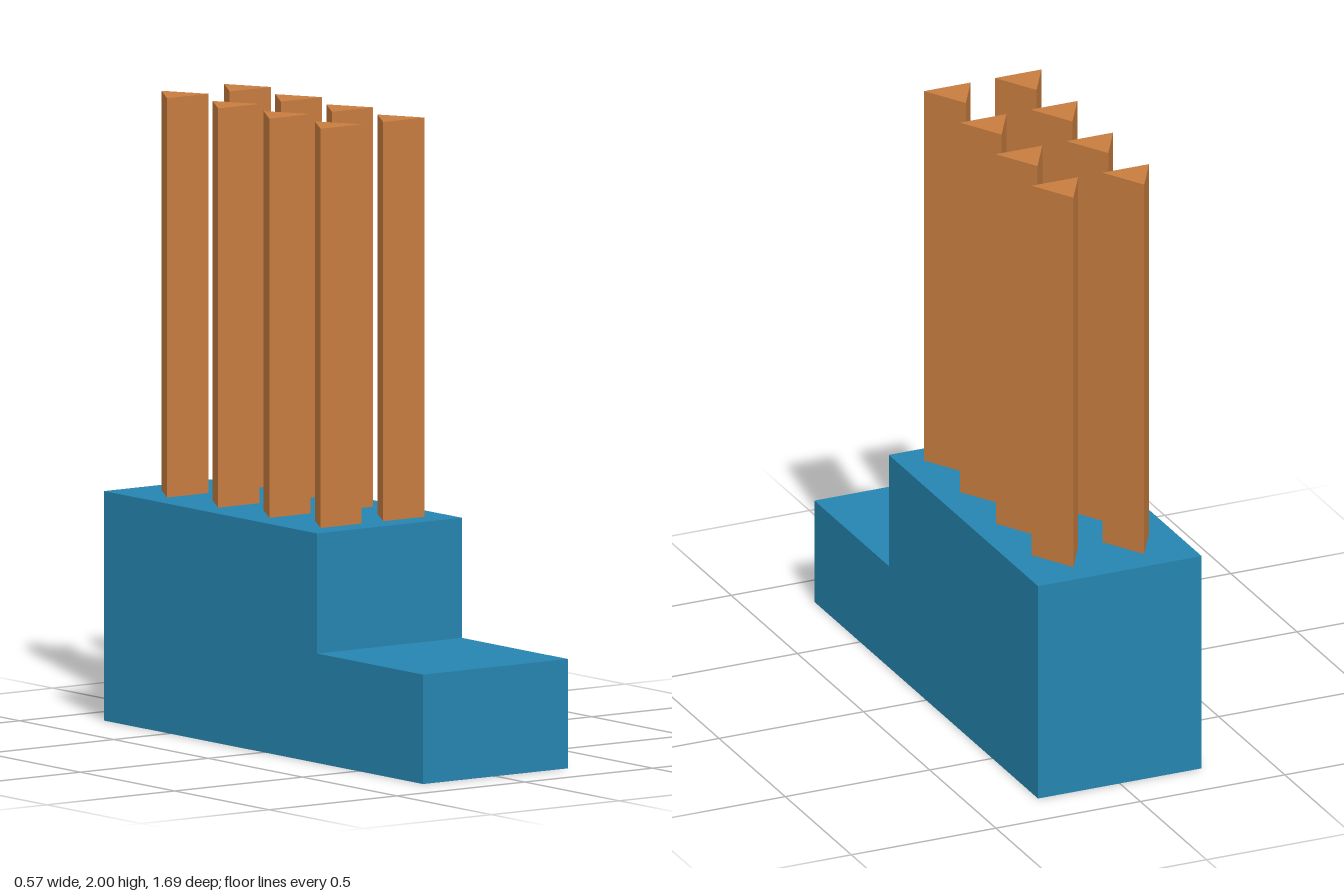
import * as THREE from 'three';

export function createModel() {
  const group = new THREE.Group();
  const blue = new THREE.MeshStandardMaterial({ color: 0x2585b0, side: THREE.DoubleSide });
  blue.name = 'blue';
  const copper = new THREE.MeshStandardMaterial({ color: 0xc87d40, flatShading: true });
  copper.name = 'copper';

  const add = (name, geometry, material, parent) => {
    const mesh = new THREE.Mesh(geometry, material);
    mesh.name = name;
    parent.add(mesh);
    return mesh;
  };

  // Stepped housing: a thin shell, open underneath. Profile points are (z, y).
  const halfWidth = 0.283;
  const profile = [
    [0.845, 0], [0.845, 0.348], [0.283, 0.348],
    [0.283, 0.73], [-0.845, 0.73], [-0.845, 0],
  ].map(([z, y]) => new THREE.Vector2(z, y));
  const housing = new THREE.Group();
  housing.name = 'housing';
  group.add(housing);

  // Front, step, riser, top and back panels follow the profile
  const panelNames = ['frontWall', 'stepTop', 'riser', 'housingTop', 'backWall'];
  panelNames.forEach((name, i) => {
    const a = profile[i], b = profile[i + 1];
    const panel = add(name, new THREE.PlaneGeometry(halfWidth * 2, a.distanceTo(b)), blue, housing);
    panel.rotation.x = Math.atan2(b.x - a.x, b.y - a.y);
    panel.position.set(0, (a.y + b.y) / 2, (a.x + b.x) / 2);
  });

  // Side walls
  for (const side of [-1, 1]) {
    const wall = add(side > 0 ? 'leftWall' : 'rightWall',
      new THREE.ShapeGeometry(new THREE.Shape(profile)), blue, housing);
    wall.rotation.y = -Math.PI / 2;
    wall.position.x = side * halfWidth;
  }

  // Two columns of triangular pins, points facing the back
  const pinHeight = 1.27;
  const pinGeometry = new THREE.CylinderGeometry(0.093, 0.093, pinHeight, 3);
  pinGeometry.rotateY(Math.PI);
  const pins = new THREE.Group();
  pins.name = 'pins';
  group.add(pins);
  for (const x of [-0.125, 0.12]) {
    for (let row = 0; row < 4; row++) {
      add('pin', pinGeometry, copper, pins)
        .position.set(x, 0.73 + pinHeight / 2, 0.15 - row * 0.271);
    }
  }

  return group;
}
